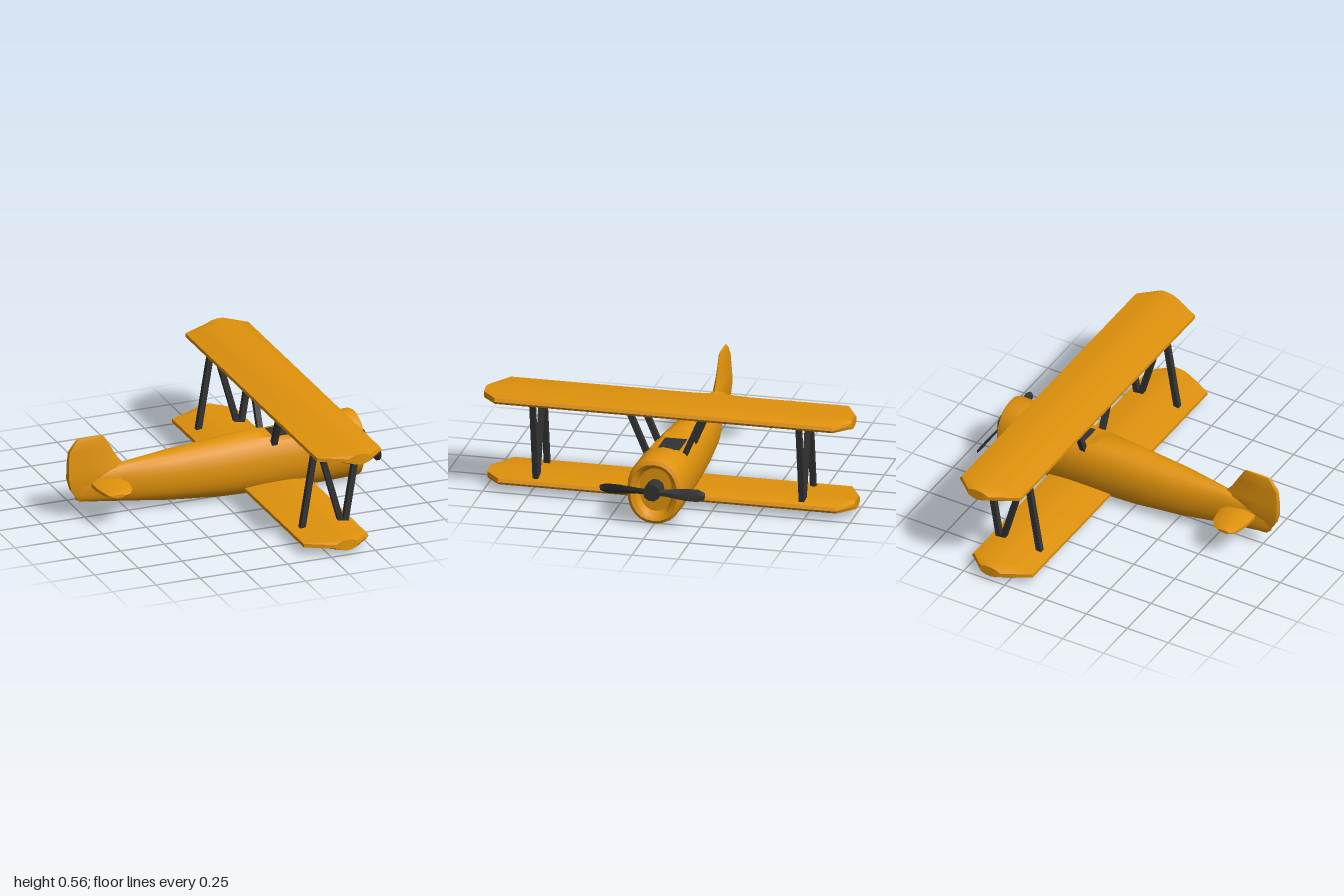
import * as THREE from 'three';
import { toCreasedNormals, mergeVertices } from 'three/addons/utils/BufferGeometryUtils.js';

const paint = new THREE.MeshStandardMaterial({ color: 0xe0920c });
const dark = new THREE.MeshStandardMaterial({ color: 0x333333 });

// Closed skin through a row of rings (arrays of [x, y, z]), capped at both ends
function loft(rings, crease = 0.6) {
  const n = rings[0].length;
  const pos = rings.flat(2);
  const idx = [];
  for (let r = 0; r < rings.length - 1; r++) {
    for (let i = 0; i < n; i++) {
      const a = r * n + i, b = r * n + (i + 1) % n;
      idx.push(a, b, b + n, a, b + n, a + n);
    }
  }
  [0, rings.length - 1].forEach((r, end) => {
    const centre = pos.length / 3;
    for (let k = 0; k < 3; k++) pos.push(rings[r].reduce((s, p) => s + p[k], 0) / n);
    for (let i = 0; i < n; i++) {
      const a = r * n + i, b = r * n + (i + 1) % n;
      idx.push(...(end ? [a, b, centre] : [b, a, centre]));
    }
  });
  // The signed volume tells whether the faces point outwards
  let volume = 0;
  const v = i => new THREE.Vector3().fromArray(pos, i * 3);
  for (let i = 0; i < idx.length; i += 3) volume += v(idx[i]).dot(v(idx[i + 1]).cross(v(idx[i + 2])));
  if (volume < 0) idx.reverse();
  const geo = new THREE.BufferGeometry();
  geo.setAttribute('position', new THREE.Float32BufferAttribute(pos, 3));
  geo.setIndex(idx);
  return toCreasedNormals(mergeVertices(geo), crease);
}

function add(parent, name, geo, material) {
  const mesh = new THREE.Mesh(geo, material);
  mesh.name = name;
  parent.add(mesh);
  return mesh;
}

// Rounded fuselage section, optionally cut flat at the cockpit
function bodyRing([x, bottom, top, half, cut = 9]) {
  const ring = [];
  const bend = c => Math.sign(c) * Math.abs(c) ** 0.9;
  for (let i = 0; i < 24; i++) {
    const a = (i / 24) * Math.PI * 2;
    const y = (top + bottom) / 2 + bend(Math.sin(a)) * (top - bottom) / 2;
    ring.push([x, Math.min(y, cut), bend(Math.cos(a)) * half]);
  }
  return ring;
}

// Square rod between two points
function strut(parent, name, from, to, size = 0.03) {
  const a = new THREE.Vector3(...from), b = new THREE.Vector3(...to);
  const mesh = add(parent, name, new THREE.BoxGeometry(size, a.distanceTo(b), size), dark);
  mesh.position.copy(a).add(b).multiplyScalar(0.5);
  mesh.quaternion.setFromUnitVectors(new THREE.Vector3(0, 1, 0), b.sub(a).normalize());
}

// Wing with clipped tips: profile across the chord, swept along the span
function wing(parent, name, x0, y0) {
  const profile = [[0, 0.02], [0, 0.04], [0.1, 0.055], [0.2, 0.06], [0.28, 0.06], [0.36, 0.048],
    [0.37, 0.03], [0.355, 0.014], [0.27, 0.003], [0.18, 0], [0.08, 0.008]];
  const rings = [[-1, 0.15, 0.275], [-0.92, 0, 0.37], [0.92, 0, 0.37], [1, 0.15, 0.275]].map(([z, lo, hi]) =>
    profile.map(([x, y]) => [x0 + lo + x / 0.37 * (hi - lo), y0 + y, z]));
  add(parent, name, loft(rings, 0.5), paint);
}

export function createModel() {
  const plane = new THREE.Group();
  plane.name = 'biplane';
  const body = new THREE.Group();
  body.name = 'body';
  body.position.z = -0.005;
  plane.add(body);

  // Fuselage, ending in a hollow cowl: x, bottom, top, half width, cockpit cut
  const sections = [
    [-0.80, 0.11, 0.22, 0.015], [-0.77, 0.095, 0.24, 0.024], [-0.65, 0.08, 0.265, 0.036],
    [-0.52, 0.064, 0.285, 0.052], [-0.28, 0.035, 0.31, 0.098], [0, 0.01, 0.333, 0.12],
    [0.22, 0.005, 0.35, 0.133, 0.35], [0.255, 0.005, 0.352, 0.135, 0.33], [0.31, 0.005, 0.356, 0.138, 0.32],
    [0.47, 0.005, 0.366, 0.145, 0.32], [0.53, 0.005, 0.37, 0.148, 0.34], [0.58, 0.005, 0.372, 0.15],
    [0.77, 0.013, 0.378, 0.15], [0.79, 0.018, 0.37, 0.145], [0.8, 0.035, 0.35, 0.128],
    [0.79, 0.055, 0.335, 0.103], [0.75, 0.075, 0.315, 0.088],
  ];
  add(body, 'fuselage', loft(sections.map(bodyRing), 0.7), paint);

  // Cockpit opening
  const cockpit = add(body, 'cockpitOpening', new THREE.BoxGeometry(0.17, 0.012, 0.12), dark);
  cockpit.position.set(0.39, 0.317, 0);

  // Tail fin: height, rear x, front x, half thickness
  const finRings = [
    [0.096, -0.78, -0.7, 0.012], [0.17, -0.83, -0.6, 0.024], [0.23, -0.845, -0.48, 0.03],
    [0.285, -0.846, -0.53, 0.026], [0.32, -0.845, -0.562, 0.022], [0.385, -0.84, -0.6, 0.017],
    [0.44, -0.802, -0.633, 0.013], [0.457, -0.785, -0.648, 0.006],
  ].map(([y, rear, front, t]) => {
    const at = f => rear + (front - rear) * f;
    return [[at(0), y, t * 0.7], [at(0.35), y, t], [at(0.8), y, t * 0.75], [at(1), y, 0],
      [at(0.8), y, -t * 0.75], [at(0.35), y, -t], [at(0), y, -t * 0.7]];
  });
  add(body, 'tailFin', loft(finRings, 0.8), paint);

  // Tailplane: half span, rear x, front x, half thickness
  const half = [[0.22, -0.675, -0.6, 0.01], [0.205, -0.695, -0.57, 0.016], [0.16, -0.708, -0.54, 0.02],
    [0.1, -0.718, -0.527, 0.023], [0.03, -0.72, -0.52, 0.028]];
  const span = [...half, ...half.map(([z, ...rest]) => [-z, ...rest]).reverse()];
  const tailRings = span.map(([z, rear, front, t]) => {
    const at = f => rear + (front - rear) * f, y = 0.19;
    return [[at(0), y - t * 0.4, z], [at(0), y + t * 0.4, z], [at(0.3), y + t, z], [at(0.75), y + t * 0.9, z],
      [at(1), y, z], [at(0.75), y - t * 0.9, z], [at(0.3), y - t, z]];
  });
  add(body, 'tailplane', loft(tailRings, 0.8), paint);

  // Wings
  wing(plane, 'upperWing', 0.2, 0.51);
  wing(plane, 'lowerWing', 0.125, 0.03);

  // N-shaped wing struts and the splayed struts over the cockpit
  for (const s of [1, -1]) {
    const z = s * 0.725;
    strut(plane, 'rearWingStrut', [0.193, 0.07, z], [0.268, 0.525, z]);
    strut(plane, 'diagonalWingStrut', [0.29, 0.525, z], [0.418, 0.07, z]);
    strut(plane, 'frontWingStrut', [0.438, 0.07, z], [0.513, 0.525, z]);
    for (const x of [0.29, 0.513]) strut(plane, 'cabaneStrut', [x, 0.3, s * 0.098], [x, 0.525, s * 0.195]);
  }

  // Propeller
  const propeller = new THREE.Group();
  propeller.name = 'propeller';
  propeller.position.set(0.825, 0.208, 0);
  body.add(propeller);
  const hub = add(propeller, 'hub', toCreasedNormals(new THREE.CylinderGeometry(0.047, 0.047, 0.1, 10), 0.4), dark);
  hub.rotation.z = Math.PI / 2;
  hub.position.x = -0.03;
  // Blade: distance from hub, half width, pitch
  const bladeRings = [[0.02, 0.016, 0.3], [0.08, 0.02, 0.3], [0.18, 0.032, 0.35], [0.25, 0.033, 0.35], [0.285, 0.018, 0.35]]
    .map(([z, w, pitch]) => [[-1, 0], [0, 0.006], [1, 0], [0, -0.006]].map(([u, t]) => [
      t * Math.cos(pitch) + u * w * Math.sin(pitch), u * w * Math.cos(pitch) - t * Math.sin(pitch), z]));
  for (const turn of [0, Math.PI]) {
    add(propeller, 'blade', loft(bladeRings, 0.4), dark).rotation.x = turn;
  }
  return plane;
}
